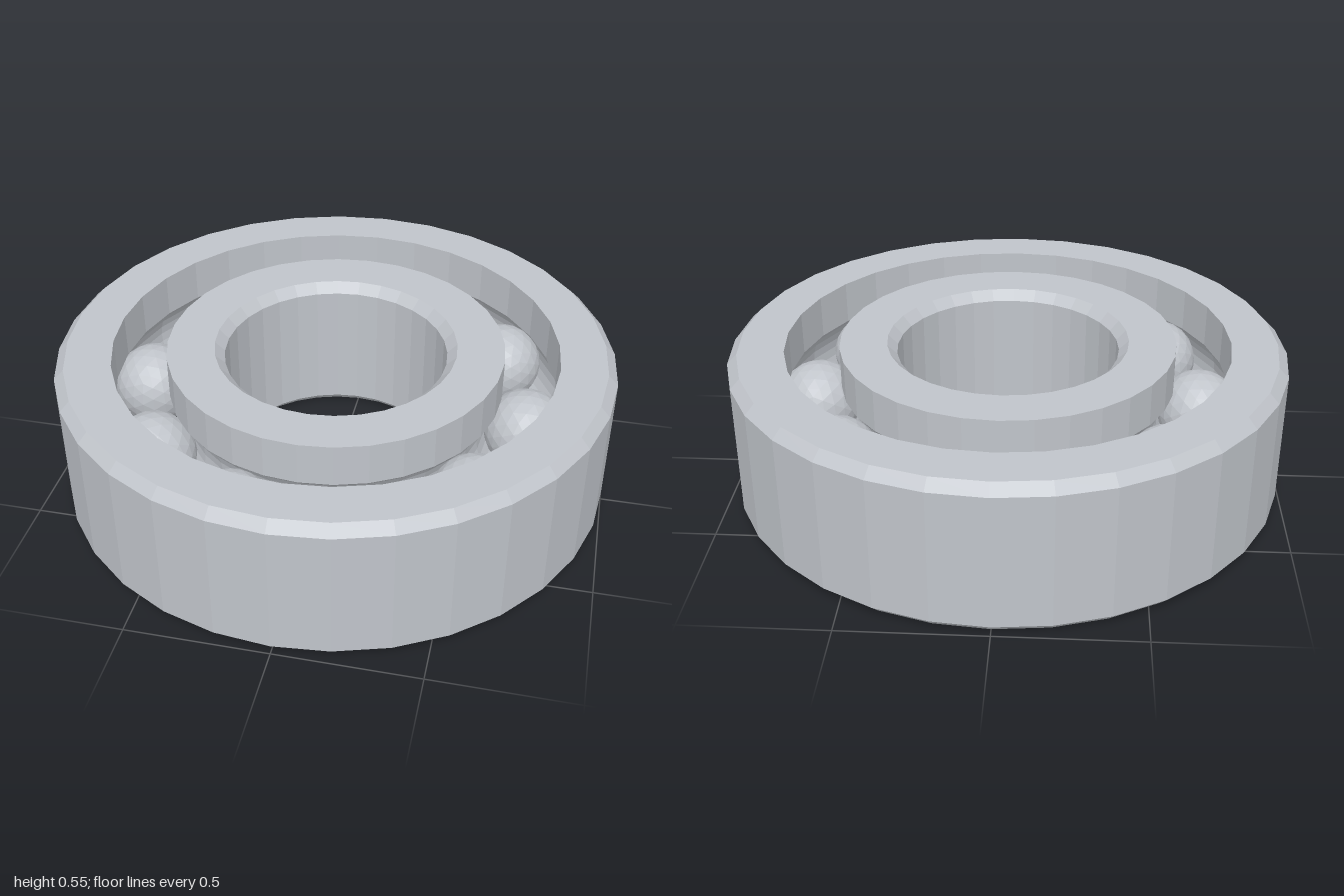
import * as THREE from 'three';

const HEIGHT = 0.55, MID = HEIGHT / 2, CHAMFER = 0.035;
const SEGMENTS = 32, BALLS = 10, PITCH = 0.7, BALL_R = 0.15, GROOVE_R = 0.153;

// Arc of the ball groove cut into a race wall at radius wall, ordered upward or downward
function groove(wall, upward) {
  const reach = Math.asin((Math.abs(wall - PITCH)) / GROOVE_R);
  const half = Math.PI / 2 - reach;
  const side = Math.sign(wall - PITCH);
  const points = [];
  for (let i = 0; i <= 8; i++) {
    const a = (upward ? 1 : -1) * half * (i / 4 - 1);
    points.push([PITCH + side * GROOVE_R * Math.cos(a), MID + GROOVE_R * Math.sin(a)]);
  }
  return points;
}

// Closed counter-clockwise (radius, height) profile turned into a faceted ring
function ring(name, profile, material) {
  const points = [...profile, profile[0]].map(([r, y]) => new THREE.Vector2(r, y));
  const mesh = new THREE.Mesh(new THREE.LatheGeometry(points, SEGMENTS), material);
  mesh.name = name;
  return mesh;
}

export function createModel() {
  const steel = new THREE.MeshStandardMaterial({ color: 0xc0c4ca, flatShading: true });
  steel.name = 'steel';

  const model = new THREE.Group();
  model.name = 'ballBearing';

  // Outer ring: chamfered outside, grooved inside
  model.add(ring('outerRing', [
    [0.8, 0], [1 - CHAMFER, 0], [1, CHAMFER],
    [1, HEIGHT - CHAMFER], [1 - CHAMFER, HEIGHT], [0.8, HEIGHT],
    ...groove(0.8, false),
  ], steel));

  // Inner ring: grooved outside, chamfered bore
  model.add(ring('innerRing', [
    [0.4 + CHAMFER, 0], [0.605, 0],
    ...groove(0.605, true),
    [0.605, HEIGHT], [0.4 + CHAMFER, HEIGHT],
    [0.4, HEIGHT - CHAMFER], [0.4, CHAMFER],
  ], steel));

  // Balls evenly spaced between the rings
  const balls = new THREE.Group();
  balls.name = 'balls';
  const ballGeometry = new THREE.IcosahedronGeometry(BALL_R, 3);
  for (let i = 0; i < BALLS; i++) {
    const a = (i / BALLS) * Math.PI * 2;
    const ball = new THREE.Mesh(ballGeometry, steel);
    ball.name = 'ball' + (i + 1);
    ball.position.set(PITCH * Math.cos(a), MID, PITCH * Math.sin(a));
    ball.rotation.y = -a;
    balls.add(ball);
  }
  model.add(balls);
  return model;
}
